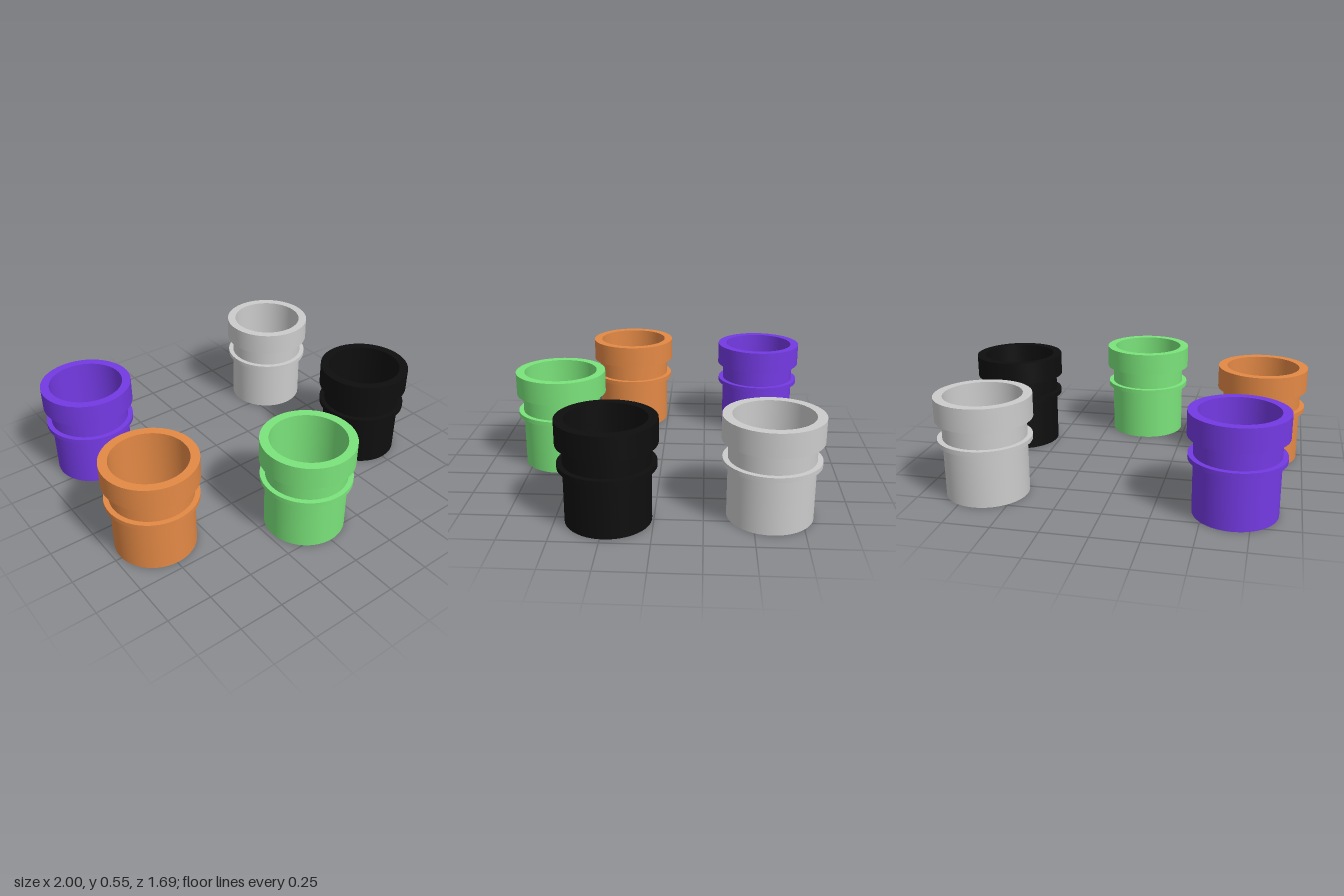
import * as THREE from 'three';
import { toCreasedNormals } from 'three/addons/utils/BufferGeometryUtils.js';

// Sharp-edged surface of revolution from [radius, height] pairs
function turned(profile) {
  const points = profile.map(([r, y]) => new THREE.Vector2(r, y));
  return toCreasedNormals(new THREE.LatheGeometry(points, 64), 0.5);
}

const BODY = 0.222, RIM = 0.256, INNER = 0.207, RING = 0.25;
const HEIGHT = 0.547, RIM_BASE = 0.42, FLOOR = 0.02;

export function createModel() {
  const model = new THREE.Group();

  // Hollow cup: closed bottom, straight wall, thick rim, inner wall and floor
  const cupGeometry = turned([
    [0, 0], [BODY, 0], [BODY, RIM_BASE], [RIM, RIM_BASE], [RIM, HEIGHT],
    [INNER, HEIGHT], [INNER, FLOOR], [0, FLOOR],
  ]);
  // Thin collar around the wall
  const collarGeometry = turned([
    [BODY - 0.005, 0.295], [RING, 0.295], [RING, 0.32], [BODY - 0.005, 0.32],
  ]);

  const cups = [
    ['greenCup', 0x7ae37a, 0, 0.585],
    ['orangeCup', 0xe38945, -0.744, 0.231],
    ['blackCup', 0x0e0e0e, 0.744, 0.231],
    ['purpleCup', 0x743ae3, -0.664, -0.588],
    ['greyCup', 0xcccccc, 0.662, -0.588],
  ];
  for (const [name, color, x, z] of cups) {
    const material = new THREE.MeshStandardMaterial({ color });
    const cup = new THREE.Group();
    cup.name = name;
    const body = new THREE.Mesh(cupGeometry, material);
    body.name = 'cupBody';
    const collar = new THREE.Mesh(collarGeometry, material);
    collar.name = 'collar';
    cup.add(body, collar);
    cup.position.set(x, 0, z);
    model.add(cup);
  }
  return model;
}
